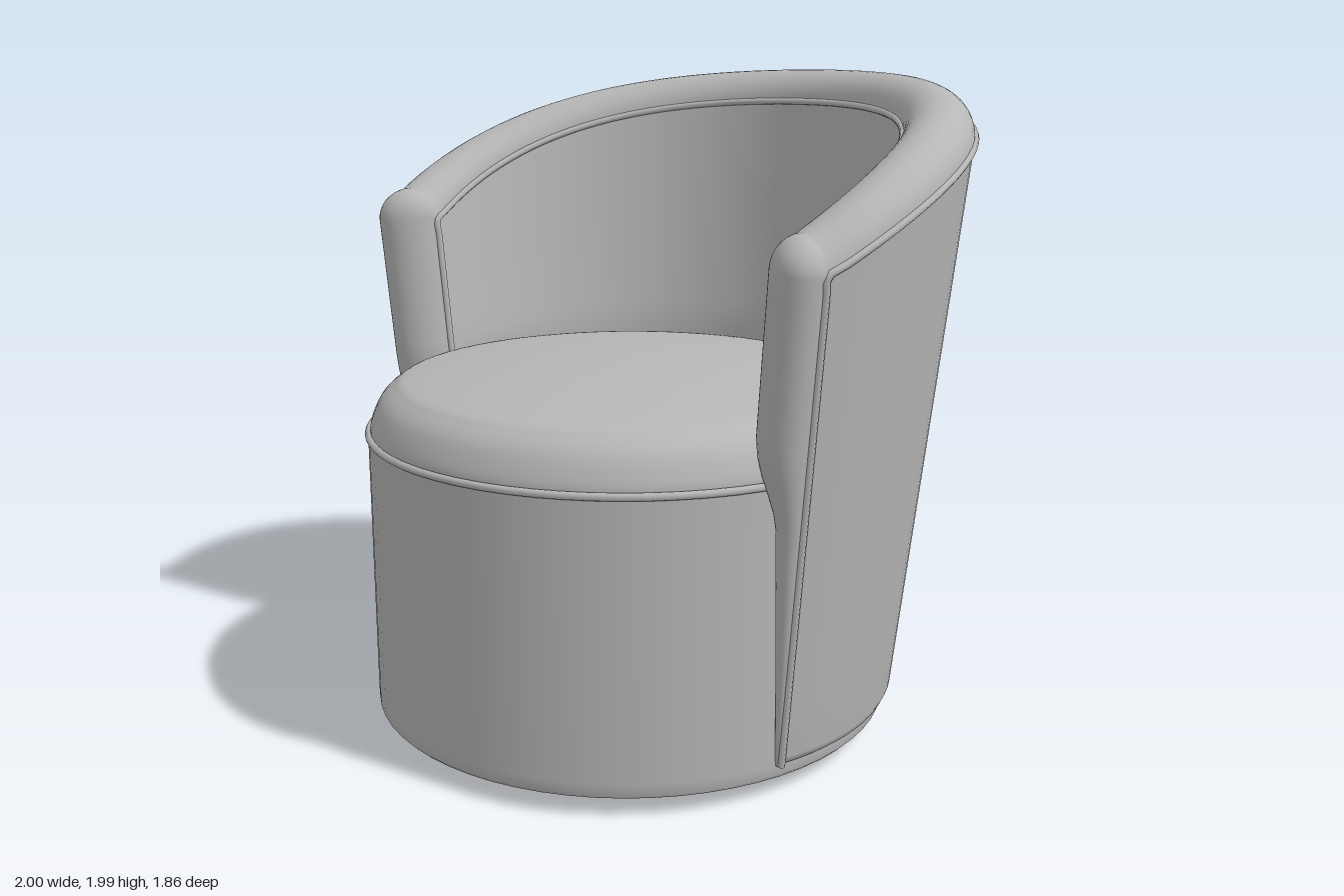
import * as THREE from 'three';

const V = (x, y, z) => new THREE.Vector3(x, y, z);
const lerp = THREE.MathUtils.lerp;

// Chair proportions
const SEAT_Z = 0.115;                 // axis of base and seat
const SHELL_Z = 0.1;                  // axis of the tapered backrest
const END = Math.PI / 2 + 0.235;      // half sweep of the backrest, measured from the rear
const BOTTOM = 0.1;
const outerR = (y) => 0.825 + 0.11 * (y - 0.12);
const innerR = (y) => lerp(0.8, 0.73 + 0.1 * (y - 1.08), THREE.MathUtils.smoothstep(y, 0.8, 1.06));
const rimY = (a) => 1.612 + 0.425 * Math.cos(a) - 0.152 * Math.cos(a) ** 2;
const onShell = (r, a, y) => V(r * Math.sin(a), y, SHELL_Z - r * Math.cos(a));

// Smooth surface through rows of points
function loft(rows) {
  const n = rows[0].length, pos = [], index = [];
  rows.forEach((row) => row.forEach((p) => pos.push(p.x, p.y, p.z)));
  for (let i = 0; i < rows.length - 1; i++) {
    for (let j = 0; j < n - 1; j++) {
      const a = i * n + j, b = a + n;
      index.push(a, a + 1, b, a + 1, b + 1, b);
    }
  }
  const g = new THREE.BufferGeometry();
  g.setAttribute('position', new THREE.Float32BufferAttribute(pos, 3));
  g.setIndex(index);
  g.computeVertexNormals();
  return g;
}

export function createModel() {
  const fabric = new THREE.MeshStandardMaterial({ color: 0xb6b6b6, side: THREE.DoubleSide });
  fabric.name = 'grey fabric';
  const black = new THREE.MeshStandardMaterial({ color: 0x1c1c1c });
  black.name = 'black plinth';

  const group = new THREE.Group();
  group.name = 'tubChair';
  const add = (name, geometry, material = fabric) => {
    const mesh = new THREE.Mesh(geometry, material);
    mesh.name = name;
    group.add(mesh);
    return mesh;
  };
  const lathe = (pts) => new THREE.LatheGeometry(pts.map(([x, y]) => new THREE.Vector2(x, y)), 64);

  // Swivel plinth
  add('swivelPlinth', new THREE.CylinderGeometry(0.55, 0.55, 0.06, 64), black).position.set(0, 0.03, SEAT_Z);

  // Round base: underside, then wall, kept as separate surfaces for a crisp edge
  add('baseUnderside', lathe([[0, 0.055], [0.795, 0.055]])).position.z = SEAT_Z;
  add('baseDrum', lathe([[0.795, 0.055], [0.805, 0.065], [0.806, 0.1], [0.806, 0.92]])).position.z = SEAT_Z;

  // Domed seat cushion
  const dome = new THREE.SplineCurve([
    [0.8, 0.92], [0.796, 0.955], [0.767, 1.02], [0.725, 1.06], [0.675, 1.082], [0.5, 1.106], [0.285, 1.125], [0, 1.136],
  ].map(([x, y]) => new THREE.Vector2(x, y)));
  const profile = dome.getPoints(32).map((p) => [Math.max(p.x, 0), p.y]);
  add('seatCushion', lathe(profile)).position.z = SEAT_Z;

  const seatPiping = add('seatPiping', new THREE.TorusGeometry(0.804, 0.012, 8, 64));
  seatPiping.rotation.x = Math.PI / 2;
  seatPiping.position.set(0, 0.922, SEAT_Z);

  // Outer and inner backrest panels
  const outerRows = [], innerRows = [];
  const SWEEP = 64;
  for (let i = 0; i <= SWEEP; i++) {
    const a = lerp(-END, END, i / SWEEP), top = rimY(a);
    const outer = [onShell(0.795, a, BOTTOM - 0.005), onShell(0.815, a, BOTTOM + 0.003)];
    const inner = [];
    for (let j = 0; j <= 8; j++) {
      const yo = lerp(BOTTOM + 0.025, top, j / 8);
      const yi = lerp(top, 0.95, j / 8);
      outer.push(onShell(outerR(yo), a, yo));
      inner.push(onShell(innerR(yi), a, yi));
    }
    outerRows.push(outer);
    innerRows.push(inner);
  }
  add('backrestOuterPanel', loft(outerRows));
  add('backrestInnerPanel', loft(innerRows));

  // Stations of the padded roll: up one front edge, around the rim, down the other
  const stations = [];
  const station = (a, y, tilt) => {
    const ro = outerR(y), ri = innerR(y);
    stations.push({
      outer: onShell(ro, a, y), inner: onShell(ri, a, y),
      bulge: V(0, Math.sin(tilt), Math.cos(tilt)).multiplyScalar((ro - ri) / 2),
    });
  };
  const corner = rimY(END), UP = Math.PI / 2;
  const FRONT = 28, TURN = 8;
  for (let i = 0; i < FRONT; i++) station(-END, lerp(BOTTOM, corner, i / FRONT), 0);
  for (let i = 0; i < TURN; i++) station(-END, corner, (UP * i) / TURN);
  for (let i = 0; i <= SWEEP; i++) {
    const a = lerp(-END, END, i / SWEEP);
    station(a, rimY(a), UP);
  }
  for (let i = TURN - 1; i >= 0; i--) station(END, corner, (UP * i) / TURN);
  for (let i = FRONT - 1; i >= 0; i--) station(END, lerp(BOTTOM, corner, i / FRONT), 0);

  // Padded roll with a half-round section
  add('paddedRoll', loft(stations.map(({ outer, inner, bulge }) => {
    const mid = outer.clone().add(inner).multiplyScalar(0.5);
    const half = outer.clone().sub(inner).multiplyScalar(0.5);
    const section = [];
    for (let j = 0; j <= 16; j++) {
      const t = (Math.PI * j) / 16;
      section.push(mid.clone().addScaledVector(half, Math.cos(t)).addScaledVector(bulge, Math.sin(t)));
    }
    return section;
  })));

  // Piping along both seams of the roll
  const piping = (name, side, lowest) => {
    const pts = stations.map((s) => s[side])
      .filter((p, i, all) => p.y >= lowest && (i === 0 || p.distanceTo(all[i - 1]) > 1e-4));
    add(name, new THREE.TubeGeometry(new THREE.CatmullRomCurve3(pts), 240, 0.011, 8));
  };
  piping('outerPiping', 'outer', 0);
  piping('innerPiping', 'inner', 1.0);

  return group;
}
